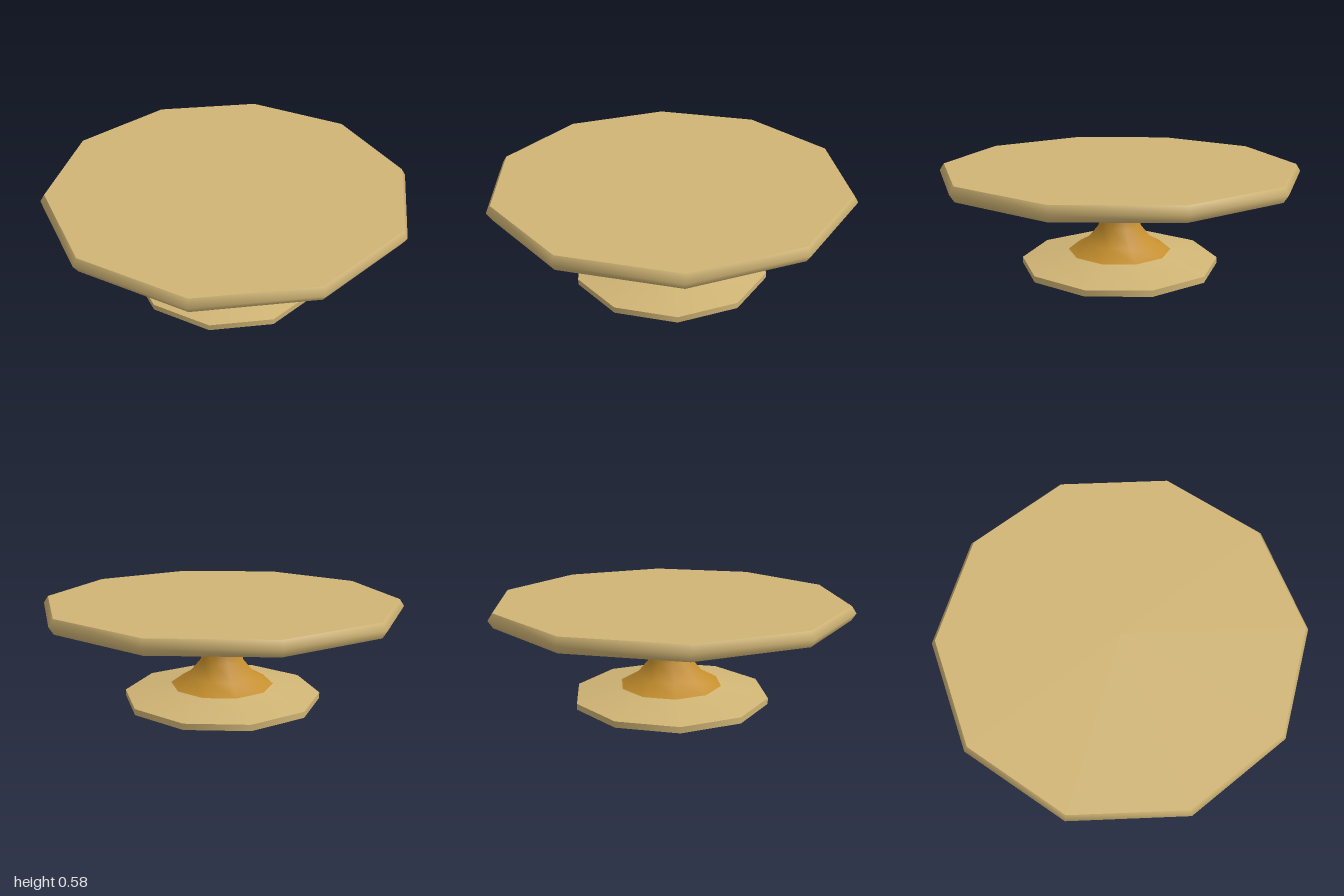
import * as THREE from 'three';

const SIDES = 10;

// Ten-sided turned surface with corners on the x axis; points run so that faces look outward
function turned(name, points, material) {
  const profile = points.map(([r, y]) => new THREE.Vector2(r, y));
  const mesh = new THREE.Mesh(new THREE.LatheGeometry(profile, SIDES, Math.PI / 2), material);
  mesh.name = name;
  return mesh;
}

export function createModel() {
  const paleWood = new THREE.MeshStandardMaterial({ color: 0xd1b575 });
  paleWood.name = 'paleWood';
  const amberWood = new THREE.MeshStandardMaterial({ color: 0xc48e2d });
  amberWood.name = 'amberWood';

  // Table top: flat faces with a softly bevelled rim
  const tableTop = new THREE.Group();
  tableTop.name = 'tableTop';
  tableTop.add(
    turned('topUnderside', [[0, 0.5], [0.975, 0.5]], amberWood),
    turned('topRim', [[0.975, 0.5], [1, 0.54], [0.975, 0.578]], paleWood),
    turned('topSurface', [[0.975, 0.578], [0, 0.578]], paleWood),
  );

  // Flared pedestal column
  const column = turned('column', [
    [0.29, 0.084], [0.19, 0.14], [0.12, 0.225], [0.105, 0.31], [0.112, 0.4], [0.2, 0.5],
  ], amberWood);

  // Foot: vertical edge and a shallow sloping upper face
  const foot = new THREE.Group();
  foot.name = 'foot';
  foot.add(
    turned('footUnderside', [[0, 0], [0.555, 0]], amberWood),
    turned('footEdge', [[0.555, 0], [0.555, 0.034]], paleWood),
    turned('footSlope', [[0.555, 0.034], [0.305, 0.08], [0.29, 0.084]], paleWood),
  );

  const model = new THREE.Group();
  model.name = 'pedestalTable';
  model.add(tableTop, column, foot);
  return model;
}
